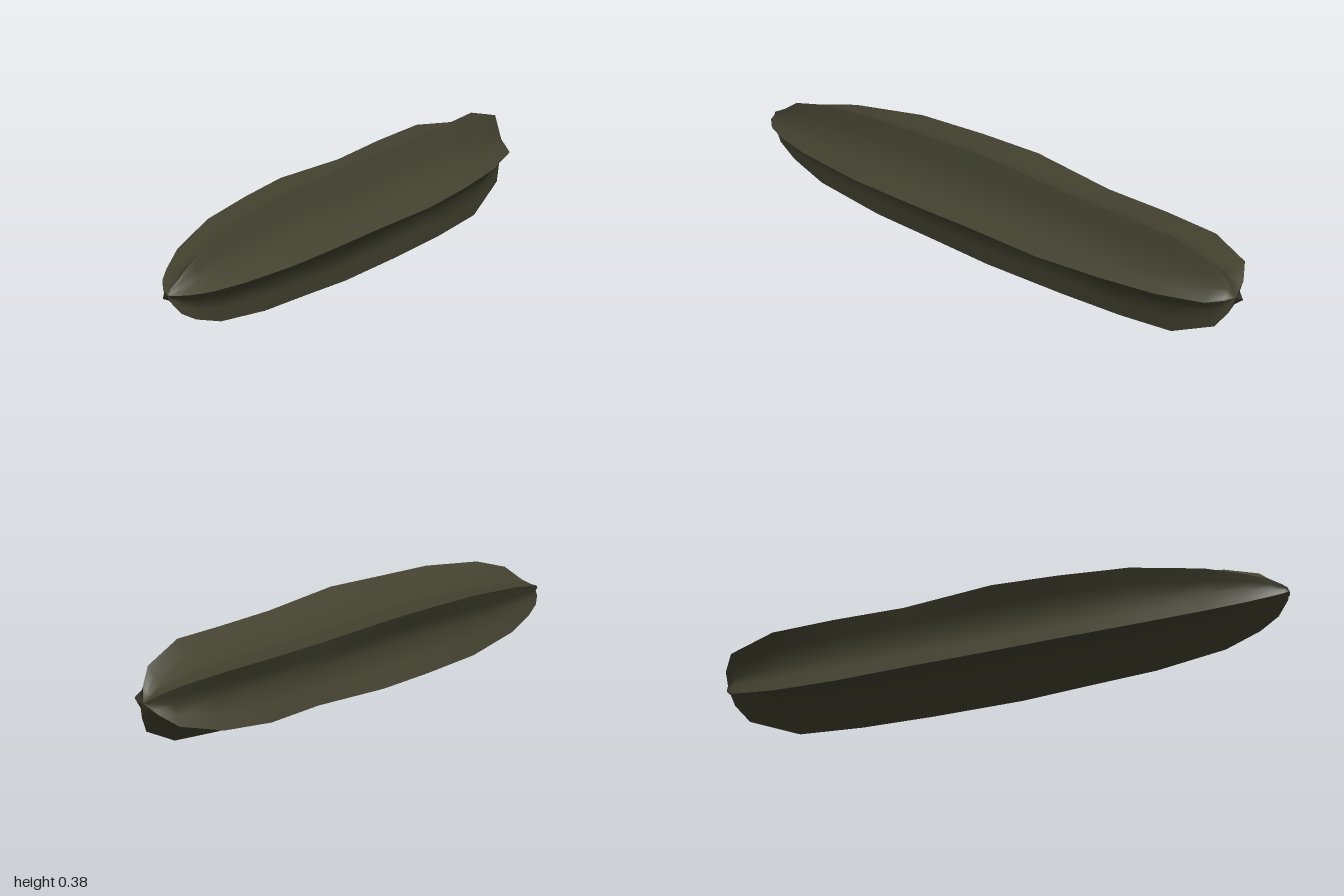
import * as THREE from 'three';

// stations along the length, front to back
const Z = [1, 0.99, 0.95, 0.88, 0.75, 0.5, 0.25, 0.02, -0.3, -0.55, -0.77, -0.94, -0.985, -1];
const centreY = [0.18, 0.18, 0.18, 0.18, 0.182, 0.187, 0.19, 0.19, 0.19, 0.19, 0.195, 0.205, 0.21, 0.21];

// five ridges: widest offset from the axis, and size at each station
const ridges = [
  { x: 0.187, y: 0.0, s: [0, 0.14, 0.36, 0.54, 0.73, 0.93, 0.98, 0.97, 1, 0.86, 0.7, 0.46, 0.22, 0] },
  { x: 0.05, y: 0.195, s: [0, 0.1, 0.22, 0.5, 0.71, 0.87, 0.93, 1, 0.93, 0.93, 0.92, 0.6, 0.28, 0] },
  { x: -0.187, y: 0.12, s: [0, 0.12, 0.27, 0.42, 0.64, 0.87, 0.95, 1, 0.9, 0.92, 0.88, 0.61, 0.3, 0] },
  { x: -0.175, y: -0.11, s: [0, 0.12, 0.28, 0.44, 0.66, 0.89, 0.97, 1, 0.93, 0.97, 0.87, 0.6, 0.28, 0] },
  { x: 0.065, y: -0.19, s: [0, 0.14, 0.37, 0.55, 0.75, 0.9, 0.95, 0.99, 0.97, 0.93, 0.87, 0.56, 0.28, 0] },
];
// grooves between each ridge and the next
const grooves = [[0.09, 0.065], [-0.04, 0.113], [-0.128, 0.005], [-0.06, -0.108], [0.08, -0.075]];
const grooveSize = [0, 0.12, 0.31, 0.5, 0.7, 0.9, 0.97, 0.98, 0.97, 0.96, 0.86, 0.58, 0.28, 0];

// one smooth side running ridge - groove - ridge, so ridges stay sharp
function side(k) {
  const a = ridges[k], b = ridges[(k + 1) % 5], g = grooves[k];
  const pos = [], index = [];
  Z.forEach((z, i) => {
    const bump = 1 + 0.035 * Math.sin(i * 2.1 + k * 1.7);
    const row = [
      [a.x * a.s[i], a.y * a.s[i]],
      [g[0] * grooveSize[i] * bump, g[1] * grooveSize[i] * bump],
      [b.x * b.s[i], b.y * b.s[i]],
    ];
    const mid = (p, q) => [(p[0] + q[0]) / 2, (p[1] + q[1]) / 2];
    const full = [row[0], mid(row[0], row[1]), row[1], mid(row[1], row[2]), row[2]];
    for (const p of full) pos.push(p[0], p[1] + centreY[i], z);
  });
  for (let i = 0; i < Z.length - 1; i++) {
    for (let j = 0; j < 4; j++) {
      const p = i * 5 + j, q = p + 5;
      if (i < Z.length - 2) index.push(p, q, q + 1);
      else index.push(p, q, p + 1);
      if (i > 0 && i < Z.length - 2) index.push(p, q + 1, p + 1);
    }
  }
  const geo = new THREE.BufferGeometry();
  geo.setAttribute('position', new THREE.Float32BufferAttribute(pos, 3));
  geo.setIndex(index);
  geo.computeVertexNormals();
  return geo;
}

export function createModel() {
  const model = new THREE.Group();
  model.name = 'starShapedPod';
  const skin = new THREE.MeshStandardMaterial({ color: 0x434230 });
  skin.name = 'darkOlive';
  for (let k = 0; k < 5; k++) {
    const mesh = new THREE.Mesh(side(k), skin);
    mesh.name = 'podSide' + (k + 1);
    model.add(mesh);
  }
  return model;
}
